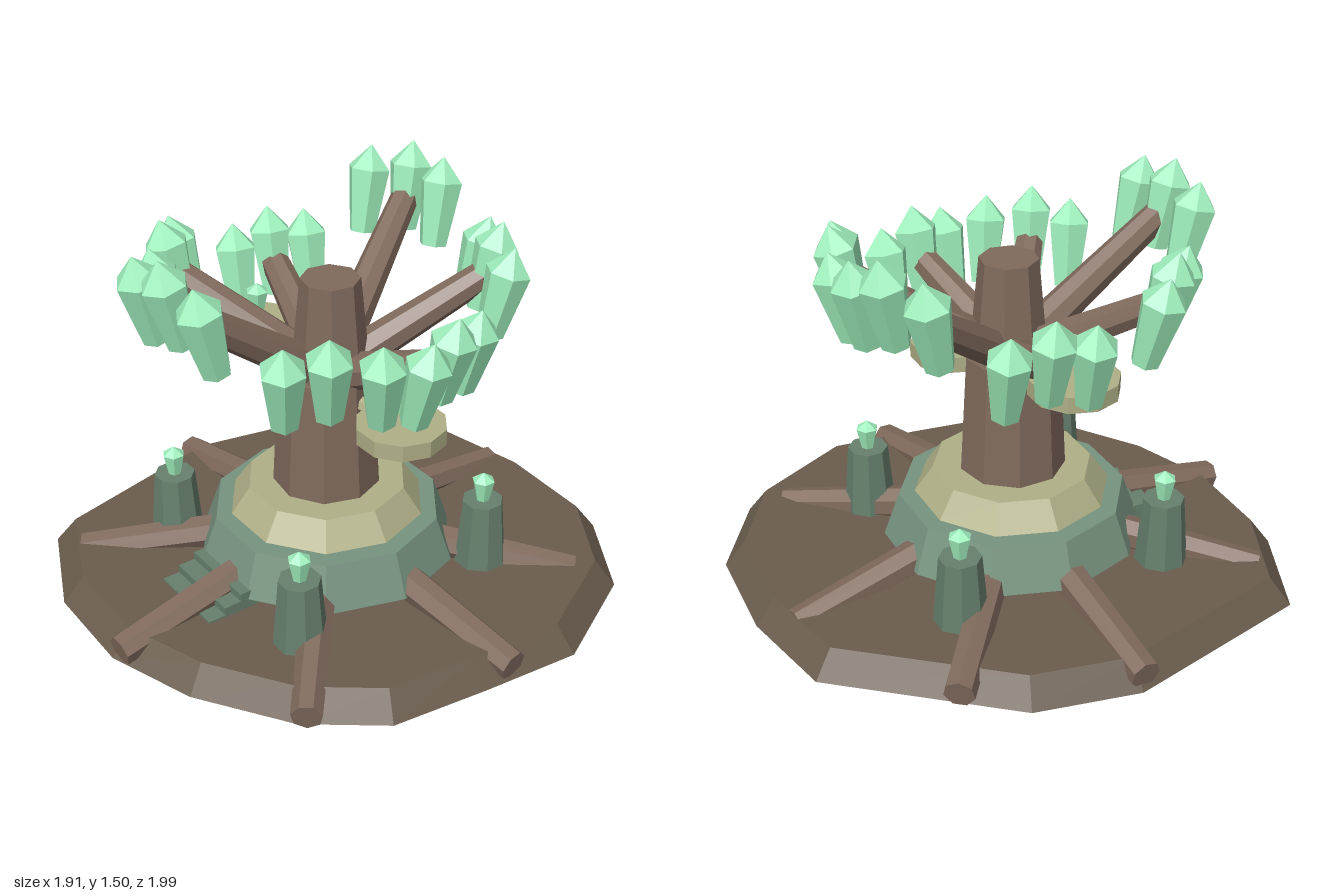
import * as THREE from 'three';

const mat = (color, side = THREE.FrontSide) =>
  new THREE.MeshStandardMaterial({ color, flatShading: true, side });
const earth = mat(0x6b5d4f, THREE.DoubleSide);
const bark = mat(0x806a5d);
const stone = mat(0x789480);
const pillarStone = mat(0x67806d);
const sand = mat(0xb0b088);
const crystalMat = mat(0xa0f0be);

const UP = new THREE.Vector3(0, 1, 0);
const CZ = 0.04; // z of the tree's axis
const V = (x, y, z) => new THREE.Vector3(x, y, z);

export function createModel() {
  const model = new THREE.Group();

  const add = (name, geometry, material, parent = model) => {
    const mesh = new THREE.Mesh(geometry, material);
    mesh.name = name;
    parent.add(mesh);
    return mesh;
  };

  // Upright faceted frustum between two heights
  const frustum = (name, rTop, rBottom, y0, y1, sides, material, x = 0, z = CZ, turn = 0) => {
    const mesh = add(name, new THREE.CylinderGeometry(rTop, rBottom, y1 - y0, sides), material);
    mesh.position.set(x, (y0 + y1) / 2, z);
    mesh.rotation.y = turn;
    return mesh;
  };

  // Tapered limb from a to b
  const limb = (name, a, b, rA, rB, sides, material) => {
    const d = b.clone().sub(a);
    const mesh = add(name, new THREE.CylinderGeometry(rB, rA, d.length(), sides), material);
    mesh.position.copy(a).add(b).multiplyScalar(0.5);
    mesh.quaternion.setFromUnitVectors(UP, d.normalize());
    return mesh;
  };

  // Six-sided crystal, widest near the top, with its apex at the origin
  const crystal = (name, h, r, rBase, apex) => {
    const profile = [[0, -h], [rBase, -h], [r, -0.27 * h], [0, 0]].map(p => new THREE.Vector2(...p));
    const mesh = add(name, new THREE.LatheGeometry(profile, 6), crystalMat);
    mesh.position.copy(apex);
    return mesh;
  };

  // Ground: irregular hollow plate, open below
  const outline = [
    [0, -1], [0.42, -0.98], [0.75, -0.77], [0.96, -0.36], [0.92, 0.02], [0.87, 0.39], [0.67, 0.65],
    [0.34, 0.87], [0, 0.985], [-0.39, 0.975], [-0.77, 0.805], [-0.95, 0.06], [-0.87, -0.33], [-0.39, -0.92],
  ];
  const n = outline.length;
  const verts = [];
  const faces = [];
  outline.forEach(([x, z], i) => {
    verts.push(x, 0, z, x * 0.925, 0.105, z * 0.925);
    const a = 2 * i, b = 2 * ((i + 1) % n);
    faces.push(a, a + 1, b, b, a + 1, b + 1, 2 * n, b + 1, a + 1);
  });
  verts.push(0, 0.105, 0);
  const ground = new THREE.BufferGeometry();
  ground.setAttribute('position', new THREE.Float32BufferAttribute(verts, 3));
  ground.setIndex(faces);
  const groundFlat = ground.toNonIndexed();
  groundFlat.computeVertexNormals();
  add('ground', groundFlat, earth);

  // Terraces around the trunk
  frustum('lowerTerrace', 0.43, 0.49, 0.14, 0.31, 10, stone, 0, CZ, 0.31);
  frustum('upperTerrace', 0.3, 0.37, 0.32, 0.42, 10, sand, 0, CZ, 0.31);

  // Trunk in two stages
  frustum('trunk', 0.175, 0.222, 0.02, 0.88, 9, bark, 0, CZ, 0.2);
  frustum('trunkTop', 0.108, 0.15, 0.8, 1.245, 8, bark, 0.02, 0.035, 0.2);

  // Roots spreading over the ground
  for (const deg of [-142, -98, -47, -8, 40, 87, 128, 178]) {
    const a = THREE.MathUtils.degToRad(deg);
    const at = (r, y) => V(Math.cos(a) * r, y, CZ + Math.sin(a) * r);
    limb('root', at(0.41, 0.16), at(0.94, 0.063), 0.065, 0.057, 7, bark);
  }

  // Front steps, lowest first, partly sunk in the ground
  const tread = 0.068;
  for (let i = 0; i < 9; i++) {
    const top = 0.02 + i * 0.031;
    const step = add('step', new THREE.BoxGeometry(0.32, top, tread), pillarStone);
    step.position.set(-0.005, top / 2, 0.84 - i * tread);
  }

  // Four pillars topped by crystals
  for (const x of [-0.415, 0.415]) {
    for (const z of [CZ - 0.415, CZ + 0.415]) {
      frustum('pillar', 0.077, 0.104, 0.05, 0.37, 8, pillarStone, x, z, Math.PI / 8);
      crystal('pillarCrystal', 0.115, 0.043, 0.025, V(x, 0.485, z));
    }
  }

  // Side decks with a narrow bridge to the trunk and a floating crystal
  for (const [x, y, z] of [[-0.35, 0.875, 0.1], [0.345, 0.73, -0.035]]) {
    frustum('deck', 0.165, 0.165, y, y + 0.062, 10, sand, x, z, Math.PI / 10);
    limb('deckBridge', V(x, y + 0.045, z), V(x * 0.42, y + 0.065, CZ + (z - CZ) * 0.42), 0.012, 0.03, 6, sand);
    crystal('deckCrystal', 0.115, 0.043, 0.025, V(x, y + 0.22, z));
  }

  // Branches: peak height, then x and z of each crystal apex
  const clusters = [
    [1.5, [-0.46, -0.51], [-0.32, -0.6], [-0.2, -0.65]],
    [1.39, [0.13, -0.6], [0.26, -0.545], [0.385, -0.49]],
    [1.27, [0.5, -0.25], [0.56, -0.1], [0.59, 0.03]],
    [1.3, [0.55, 0.21], [0.47, 0.365], [0.375, 0.48]],
    [1.5, [-0.13, 0.725], [0.02, 0.715], [0.19, 0.69]],
    [1.385, [-0.57, 0.33], [-0.48, 0.42], [-0.37, 0.53]],
    [1.28, [-0.535, -0.24], [-0.56, -0.09], [-0.575, 0.055]],
  ];
  for (const [peak, ...tips] of clusters) {
    const [mx, mz] = tips[1];
    const end = V(mx * 0.95, peak - 0.18, CZ + (mz - CZ) * 0.95);
    limb('branch', V(0.01, 0.86, CZ), end, 0.075, 0.052, 8, bark);
    // Hanging crystals lean outward at the top
    const out = V(mx, 0, mz - CZ).normalize();
    const lean = out.clone().multiplyScalar(0.24).add(UP).normalize();
    tips.forEach(([x, z], i) => {
      const leaf = crystal('leafCrystal', 0.335, 0.083, 0.052, V(x, peak - (i === 1 ? 0 : 0.04), z));
      leaf.quaternion.setFromUnitVectors(UP, lean);
    });
  }

  return model;
}
